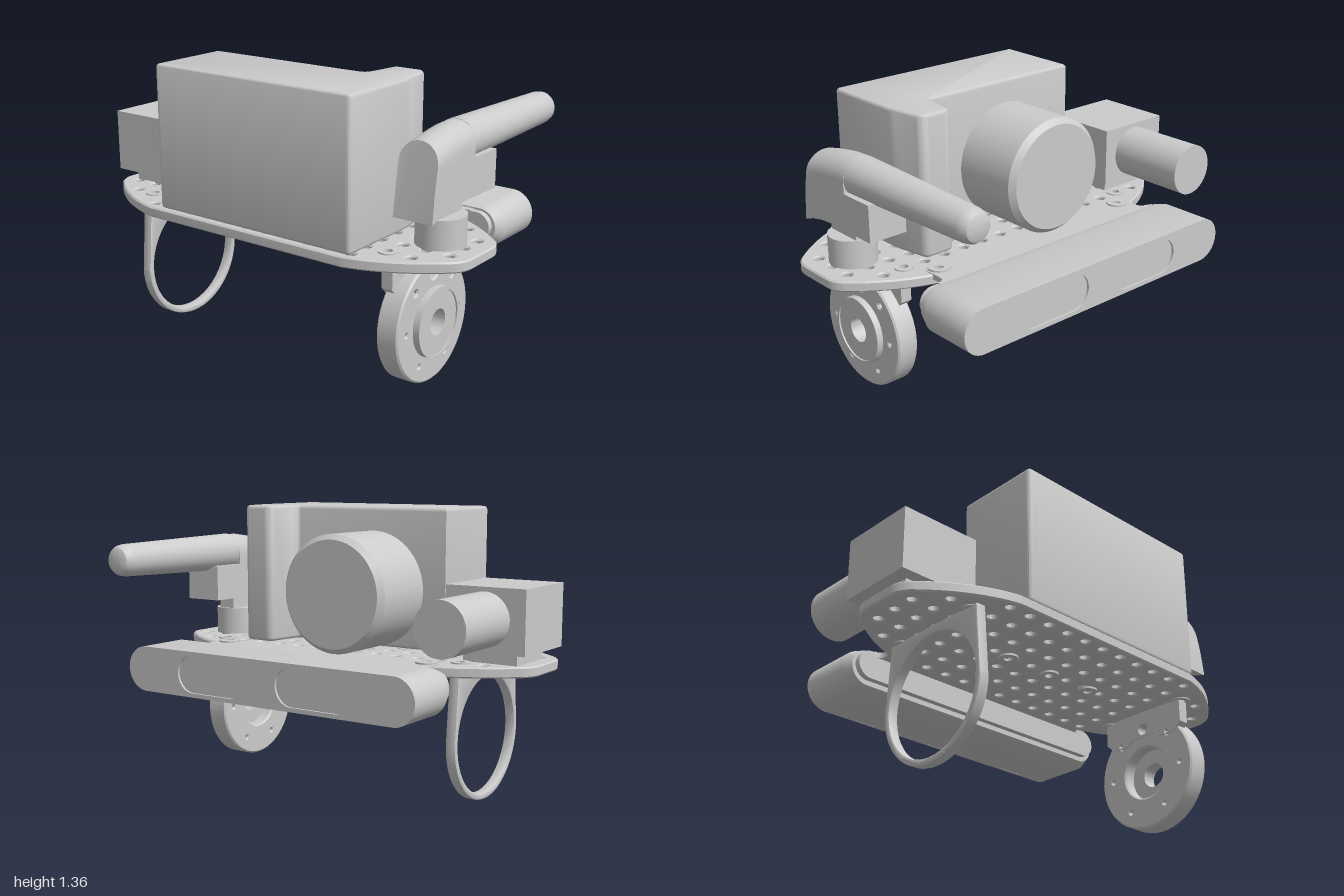
import * as THREE from 'three';
import { toCreasedNormals, mergeVertices } from 'three/addons/utils/BufferGeometryUtils.js';

const material = new THREE.MeshStandardMaterial({ color: 0xcccccc, side: THREE.DoubleSide });

function add(parent, name, geometry, x = 0, y = 0, z = 0) {
  const mesh = new THREE.Mesh(geometry, material);
  mesh.name = name;
  mesh.position.set(x, y, z);
  parent.add(mesh);
  return mesh;
}

function box(parent, name, x0, x1, y0, y1, z0, z1) {
  return add(parent, name, new THREE.BoxGeometry(x1 - x0, y1 - y0, z1 - z0),
    (x0 + x1) / 2, (y0 + y1) / 2, (z0 + z1) / 2);
}

// Extrusion from z = 0 to z = depth, with the bevel kept inside the outline
function extrude(shape, depth, bevel = 0, segments = 1) {
  const g = new THREE.ExtrudeGeometry(shape, {
    depth: depth - 2 * bevel, bevelEnabled: bevel > 0, bevelThickness: bevel, bevelSize: bevel,
    bevelOffset: -bevel, bevelSegments: segments, curveSegments: 24,
  });
  g.translate(0, 0, bevel);
  return toCreasedNormals(g, 0.6);
}

// Plan shape (x, z) extruded downwards from y = 0
const slab = (shape, depth, bevel, segments) => extrude(shape, depth, bevel, segments).rotateX(Math.PI / 2);

// Turned part from (radius, height) pairs
function turned(points, sides = 64) {
  const g = new THREE.LatheGeometry(points.map(p => new THREE.Vector2(...p)), sides);
  return toCreasedNormals(g, 0.5);
}
const alongX = g => g.rotateZ(-Math.PI / 2);
const alongZ = g => g.rotateX(Math.PI / 2);

function hole(shape, x, y, r) {
  shape.holes.push(new THREE.Path().absarc(x, y, r, 0, Math.PI * 2, true));
}

function stadium(cx, cy, half, r, Type = THREE.Shape) {
  return new Type().absarc(cx + half, cy, r, -Math.PI / 2, Math.PI / 2, false)
    .absarc(cx - half, cy, r, Math.PI / 2, Math.PI * 1.5, false).closePath();
}

// Skin over convex rings of [x, y, z] points, closed at both ends
function loft(rings) {
  const n = rings[0].length, pos = rings.flat(2), index = [];
  for (let i = 0; i < rings.length - 1; i++) for (let j = 0; j < n; j++) {
    const a = i * n + j, b = i * n + (j + 1) % n;
    index.push(a, b, a + n, b, b + n, a + n);
  }
  const last = (rings.length - 1) * n;
  for (let j = 1; j < n - 1; j++) {
    index.push(0, j + 1, j, last, last + j, last + j + 1);
  }
  const g = new THREE.BufferGeometry();
  g.setAttribute('position', new THREE.Float32BufferAttribute(pos, 3));
  g.setIndex(index);
  return toCreasedNormals(mergeVertices(g), 0.6);
}

export function createModel() {
  const model = new THREE.Group();
  model.name = 'sensorPlatform';
  const CX = -0.25, PITCH = 0.1133;

  // Perforated base plate: right half of the outline, mirrored by sign
  const plate = new THREE.Shape();
  plate.moveTo(CX + 0.393, -0.55).lineTo(CX + 0.393, 0.55);
  plate.quadraticCurveTo(CX + 0.35, 0.77, CX + 0.17, 0.965).quadraticCurveTo(CX + 0.13, 1, CX + 0.08, 1);
  plate.lineTo(CX - 0.08, 1).quadraticCurveTo(CX - 0.13, 1, CX - 0.17, 0.965);
  plate.quadraticCurveTo(CX - 0.35, 0.77, CX - 0.393, 0.55).lineTo(CX - 0.393, -0.55);
  plate.quadraticCurveTo(CX - 0.35, -0.77, CX - 0.17, -0.965).quadraticCurveTo(CX - 0.13, -1, CX - 0.08, -1);
  plate.lineTo(CX + 0.08, -1).quadraticCurveTo(CX + 0.13, -1, CX + 0.17, -0.965);
  plate.quadraticCurveTo(CX + 0.35, -0.77, CX + 0.393, -0.55);
  for (let i = -3; i <= 3; i++) for (let k = -8; k <= 8; k++) {
    const reach = Math.abs(k) <= 5 ? 3 : Math.abs(k) <= 7 ? 2 : 1;
    if (Math.abs(i) <= reach) hole(plate, CX + i * PITCH, k * PITCH, 0.023);
  }
  add(model, 'basePlate', slab(plate, 0.05, 0.007), 0, 0.68, 0);

  // Ring bushings on the plate
  const bushing = turned([[0.02, 0], [0.045, 0], [0.045, 0.062], [0.02, 0.062], [0.02, 0]], 24);
  for (const sx of [-1, 1]) for (const sz of [-1, 1])
    add(model, 'bushing', bushing, CX + sx * 2 * PITCH, 0.624, sz * 6 * PITCH);
  for (const z of [-0.26, 0, 0.26]) add(model, 'bushing', bushing, CX, 0.62, z);

  // Main housing with forward grip
  const body = new THREE.Shape();
  body.moveTo(-0.61, -0.49).lineTo(-0.21, -0.49).lineTo(-0.21, 0.34).quadraticCurveTo(-0.21, 0.365, -0.18, 0.37);
  body.lineTo(-0.05, 0.39).quadraticCurveTo(-0.02, 0.395, -0.02, 0.43).lineTo(-0.02, 0.52);
  body.quadraticCurveTo(-0.02, 0.55, -0.05, 0.56).lineTo(-0.18, 0.585).lineTo(-0.22, 0.59).lineTo(-0.61, 0.59);
  body.quadraticCurveTo(-0.63, 0.59, -0.63, 0.57).lineTo(-0.63, -0.47).quadraticCurveTo(-0.63, -0.49, -0.61, -0.49);
  add(model, 'housing', slab(body, 0.677, 0.018, 4), 0, 1.36, 0);
  add(model, 'lensBarrel', alongX(turned([[0, -0.03], [0.28, -0.03], [0.28, 0.335], [0.255, 0.363], [0, 0.363]], 96)),
    -0.21, 0.965, -0.09);

  // Rear scanner box with its barrel
  box(model, 'scannerFoot', -0.345, -0.08, 0.675, 0.74, -0.93, -0.66);
  box(model, 'scannerBox', -0.405, -0.02, 0.735, 1.03, -0.995, -0.6);
  add(model, 'scannerBarrel', alongX(new THREE.CylinderGeometry(0.125, 0.125, 0.4, 64)), 0.175, 0.885, -0.795);

  // Handle: base, neck, hooded elbow and tapered grip
  const HZ = 0.793;
  add(model, 'handleBase', new THREE.CylinderGeometry(0.112, 0.112, 0.14, 48), CX, 0.745, HZ);
  box(model, 'handleNeck', -0.345, -0.155, 0.8, 0.9, HZ - 0.045, HZ + 0.045);
  // Each station: bottom x, bottom y, top x, top y
  const stations = [[-0.475, 0.835, -0.425, 1.165], [-0.41, 0.857, -0.37, 1.178], [-0.34, 0.871, -0.3, 1.19],
    [-0.25, 0.878, -0.23, 1.2], [-0.15, 0.877, -0.15, 1.203]];
  add(model, 'handleElbow', loft(stations.map(([bx, by, tx, ty]) => {
    const r = 0.096, ring = [], h = ty - by;
    const point = (y, z) => {
      const t = (y - by) / h;
      return [bx + (tx - bx) * t - 0.012 * Math.sin(t * Math.PI) * (bx < -0.4 ? 0.6 : 0), y, HZ + z];
    };
    for (let i = 0; i <= 6; i++) ring.push(point(by + (h - r) * i / 6, r));
    for (let i = 1; i < 16; i++) {
      const a = i / 16 * Math.PI;
      ring.push(point(ty - r + Math.sin(a) * r, Math.cos(a) * r));
    }
    for (let i = 6; i >= 0; i--) ring.push(point(by + (h - r) * i / 6, -r));
    return ring.reverse();
  })));
  box(model, 'handleBlock', -0.16, 0.03, 0.876, 1.05, HZ - 0.096, HZ + 0.096);
  const grip = add(model, 'handleGrip', alongX(turned([[0, 0], [0.094, 0], [0.077, 0.735], [0.072, 0.765],
    [0.06, 0.783], [0.045, 0.79], [0, 0.79]], 32)), -0.15, 1.111, HZ);
  grip.rotation.z = 0.003;

  // Side light bar: stepped rear, flared body, front face with two windows
  const BZ = 0.01;
  const barRing = ([x, y, r]) => {
    const ring = [];
    for (let i = 0; i < 48; i++) {
      const a = (i + 0.5) / 48 * Math.PI * 2;
      ring.push([x, y + Math.sin(a) * r, BZ + Math.cos(a) * r + Math.sign(Math.cos(a)) * 0.6925]);
    }
    return ring.reverse();
  };
  add(model, 'lightBar', loft([[0.205, 0.612, 0.068], [0.235, 0.612, 0.068], [0.2351, 0.605, 0.085],
    [0.29, 0.598, 0.1075], [0.544, 0.598, 0.1075]].map(barRing)));
  const face = stadium(0, 0, 0.6925, 0.1075);
  for (const s of [-1, 1]) face.holes.push(stadium(s * 0.285, 0, 0.115, 0.0875, THREE.Path));
  add(model, 'lightBarFace', extrude(face, 0.012).rotateY(Math.PI / 2), 0.543, 0.598, BZ);

  // Flat bracket with two screw ears joining the bar to the plate
  const bracket = new THREE.Shape();
  bracket.moveTo(0.03, 0.57).lineTo(0.03, -0.57).absarc(0.09, -0.57, 0.06, Math.PI, Math.PI * 1.5, false);
  bracket.lineTo(0.17, -0.63).quadraticCurveTo(0.205, -0.63, 0.205, -0.67).lineTo(0.29, -0.67).lineTo(0.29, 0.67);
  bracket.lineTo(0.205, 0.67).quadraticCurveTo(0.205, 0.63, 0.17, 0.63).lineTo(0.09, 0.63);
  bracket.absarc(0.09, 0.57, 0.06, Math.PI / 2, Math.PI, false);
  for (const z of [-0.57, 0.57]) hole(bracket, 0.09, z, 0.024);
  add(model, 'barBracket', slab(bracket, 0.027), 0, 0.684, 0);
  for (const z of [-0.57, 0.57])
    add(model, 'bracketWasher', turned([[0.024, 0], [0.052, 0], [0.052, 0.008], [0.024, 0.008]], 32), 0.09, 0.684, z);

  // Front round flange with bolt holes, stepped hub and hanger
  const WY = 0.315;
  const mounting = [[0, 0.225, 0.029], [-0.145, 0.172, 0.013], [0.145, 0.172, 0.013]];
  const disc = new THREE.Shape().absarc(0, 0, 0.282, 0, Math.PI * 2, false);
  hole(disc, 0, 0, 0.13);
  const bolts = [[-0.21, 0, 0.008], [0.21, 0, 0.008], [-0.105, -0.182, 0.008], [0.105, -0.182, 0.008]];
  for (const h of [...mounting, ...bolts]) hole(disc, ...h);
  add(model, 'flangeDisc', extrude(disc, 0.108, 0.008), CX, WY, 0.66);
  add(model, 'flangeHub', alongZ(turned([[0.06, 0.72], [0.135, 0.72], [0.135, 0.765], [0.162, 0.765], [0.162, 0.8],
    [0.15, 0.8], [0.15, 0.792], [0.06, 0.792], [0.06, 0.72]])), CX, WY, 0);
  const hanger = new THREE.Shape();
  hanger.moveTo(-0.235, 0.325).lineTo(-0.235, 0.2).lineTo(-0.195, 0.16).lineTo(-0.1, 0.16).lineTo(-0.07, 0.185);
  hanger.lineTo(0.07, 0.185).lineTo(0.1, 0.16).lineTo(0.195, 0.16).lineTo(0.235, 0.2).lineTo(0.235, 0.325);
  for (const h of mounting) hole(hanger, ...h);
  add(model, 'flangeHanger', extrude(hanger, 0.055), CX, WY, 0.653);

  // Rear guard hoop with straight sides rising to the plate
  const hoop = new THREE.Shape();
  hoop.moveTo(0.283, 0.325).lineTo(-0.283, 0.325).lineTo(-0.309, 0);
  hoop.absarc(0, 0, 0.311, Math.PI, Math.PI * 2, false).closePath();
  hole(hoop, 0, 0, 0.28);
  add(model, 'rearHoop', extrude(hoop, 0.052, 0.01, 2), CX, WY - 0.003, -0.705);
  return model;
}
